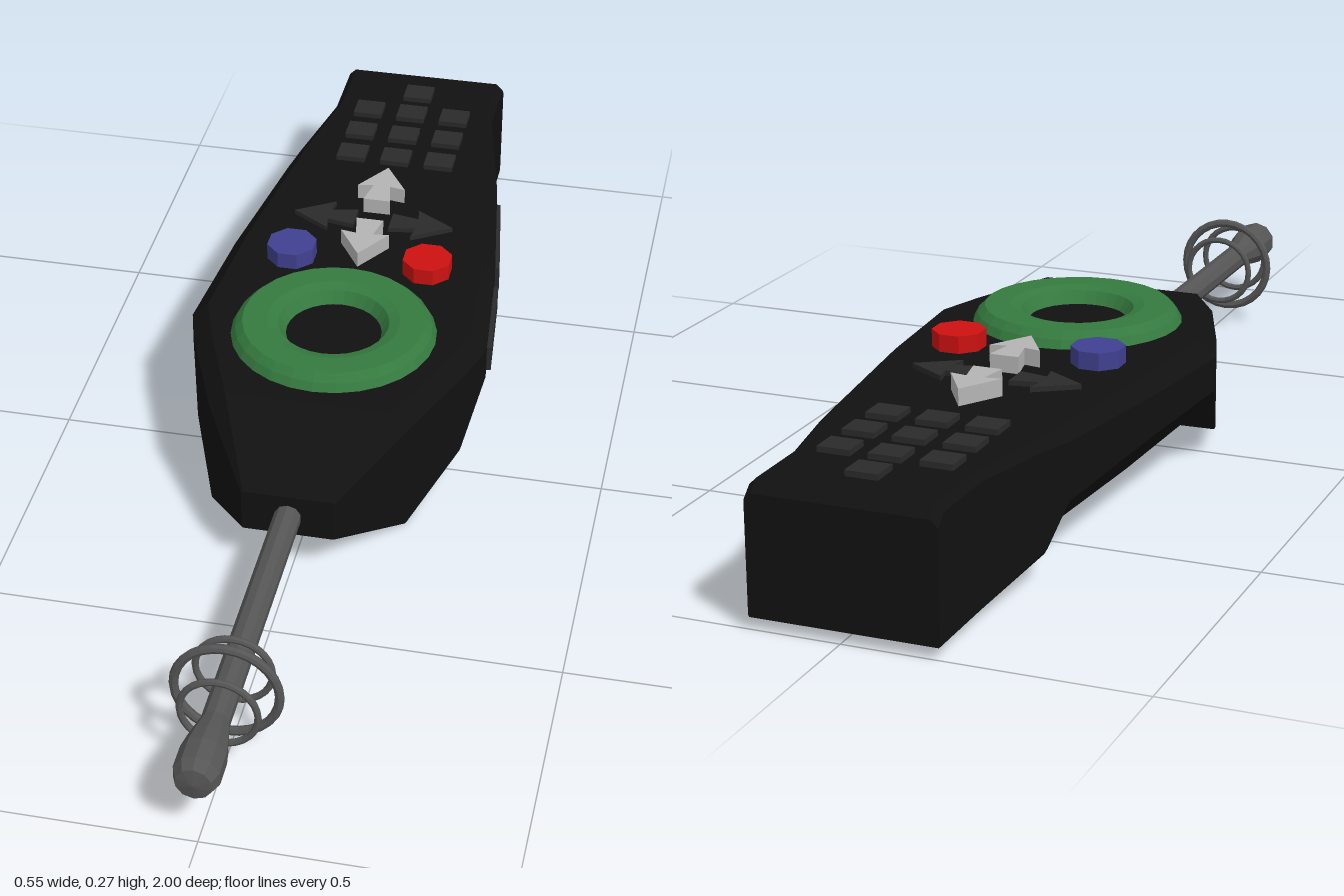
import * as THREE from 'three';

const mat = (color) => new THREE.MeshStandardMaterial({ color, flatShading: true });

export function createModel() {
  const model = new THREE.Group();
  model.name = 'handheldDevice';
  const black = mat(0x111111), keyGrey = mat(0x2a2a2a), metal = mat(0x555555);
  const light = mat(0xb4b4b4), green = mat(0x357a3f), red = mat(0xcc1111), blue = mat(0x404090);
  const top = 0.24, axisX = -0.005;

  const add = (name, geometry, material, x = 0, y = 0, z = 0, parent = model) => {
    const mesh = new THREE.Mesh(geometry, material);
    mesh.name = name;
    mesh.position.set(x, y, z);
    parent.add(mesh);
    return mesh;
  };

  // Body: lofted sections [z, half width, bottom half width, bottom, lower side edge, top, chamfer]
  const stations = [
    [0.335, 0.082, 0.080, 0.08, 0.083, 0.16, 0.003],
    [0.17, 0.178, 0.176, 0, 0.003, top, 0.03],
    [0, 0.245, 0.243, 0.045, 0.05, top, 0.03],
    [-0.09, 0.273, 0.21, 0.078, 0.15, top, 0.03],
    [-0.33, 0.25, 0.2, 0.078, 0.145, top, 0.025],
    [-0.61, 0.209, 0.18, 0.078, 0.12, top, 0.02],
    [-0.67, 0.196, 0.19, 0.05, 0.06, top, 0.015],
    [-0.845, 0.16, 0.158, 0.02, 0.023, top, 0.012],
    [-0.98, 0.16, 0.158, 0.02, 0.023, top, 0.012],
    [-1, 0.16, 0.158, 0.02, 0.023, 0.222, 0.012],
  ];
  const rings = stations.map(([z, w, wb, bot, low, t, c]) => {
    const half = [[wb, bot], [w, low], [w, t - c], [w - c, t]];
    const mirrored = half.map(([x, y]) => [-x, y]).reverse();
    return [...half, ...mirrored].map(([x, y]) => [x, y, z]);
  });
  const pos = [];
  const tri = (a, b, c) => pos.push(...a, ...b, ...c);
  for (let i = 0; i < rings.length - 1; i++) {
    for (let j = 0; j < 8; j++) {
      const k = (j + 1) % 8, f = rings[i], r = rings[i + 1];
      tri(f[j], r[j], f[k]);
      tri(f[k], r[j], r[k]);
    }
  }
  const last = rings[rings.length - 1];
  for (let j = 1; j < 7; j++) {
    tri(rings[0][0], rings[0][j], rings[0][j + 1]);
    tri(last[0], last[j + 1], last[j]);
  }
  const bodyGeo = new THREE.BufferGeometry();
  bodyGeo.setAttribute('position', new THREE.Float32BufferAttribute(pos, 3));
  bodyGeo.computeVertexNormals();
  add('body', bodyGeo, black);

  // Two raised panels on the left flank, following its slope
  for (const [za, xa, zb, xb] of [[-0.105, 0.272, -0.3, 0.253], [-0.36, 0.246, -0.58, 0.213]]) {
    const geo = new THREE.BoxGeometry(0.016, 0.05, Math.hypot(za - zb, xa - xb));
    const panel = add('sidePanel', geo, keyGrey, (xa + xb) / 2, 0.181, (za + zb) / 2);
    panel.rotation.y = Math.atan2(xa - xb, za - zb);
  }

  // Antenna with bulbous tip, turned around z
  const antenna = new THREE.Group();
  antenna.name = 'antenna';
  antenna.position.set(0, 0.118, 0);
  model.add(antenna);
  const rodProfile = [
    [0, 0.3], [0.024, 0.3], [0.024, 0.855], [0.034, 0.9],
    [0.039, 0.93], [0.039, 0.975], [0.03, 0.995], [0, 1],
  ].map(([r, z]) => new THREE.Vector2(r, z));
  add('rod', new THREE.LatheGeometry(rodProfile, 10).rotateX(Math.PI / 2), metal, 0, 0, 0, antenna);
  for (const [z, r, tube] of [[0.73, 0.064, 0.006], [0.78, 0.087, 0.008], [0.833, 0.064, 0.006]]) {
    add('antennaRing', new THREE.TorusGeometry(r, tube, 8, 28), metal, 0, 0, z, antenna);
  }

  // Dial ring on the top face
  const dialProfile = [[0.186, 0], [0.178, 0.015], [0.165, 0.028], [0.12, 0.028], [0.1, 0.022], [0.085, -0.002]]
    .map(([r, y]) => new THREE.Vector2(r, y)).reverse();
  const dialMat = green.clone();
  dialMat.side = THREE.DoubleSide;
  add('dial', new THREE.LatheGeometry(dialProfile, 28), dialMat, 0, top, -0.05);

  // Round buttons
  for (const [name, x, m] of [['redButton', 0.13, red], ['blueButton', -0.127, blue]]) {
    const geo = new THREE.CylinderGeometry(0.047, 0.047, 0.04, 8).rotateY(Math.PI / 8);
    add(name, geo, m, x, 0.251, -0.275);
  }

  // Four arrow keys around a common centre, the light pair standing taller
  const arrow = new THREE.Shape([
    [-0.026, 0.034], [0.026, 0.034], [0.016, 0.085], [0.046, 0.08],
    [0, 0.153], [-0.046, 0.08], [-0.016, 0.085],
  ].map(([x, y]) => new THREE.Vector2(x, y)));
  for (let i = 0; i < 4; i++) {
    const tall = i % 2 === 0;
    const geo = new THREE.ExtrudeGeometry(arrow, { depth: tall ? 0.031 : 0.01, bevelEnabled: false });
    geo.rotateX(-Math.PI / 2).rotateY(i * Math.PI / 2);
    add('arrowKey', geo, tall ? light : keyGrey, 0, top - 0.001, -0.416);
  }

  // Keypad: three rows of three and a single key behind
  const keyGeo = new THREE.BoxGeometry(0.056, 0.02, 0.05);
  const keys = [[0, -0.9]];
  for (const z of [-0.82, -0.735, -0.65]) for (const x of [-0.087, 0, 0.087]) keys.push([x, z]);
  for (const [x, z] of keys) add('key', keyGeo, keyGrey, x, top, z);

  model.children.forEach((part) => { part.position.x += axisX; });
  return model;
}
